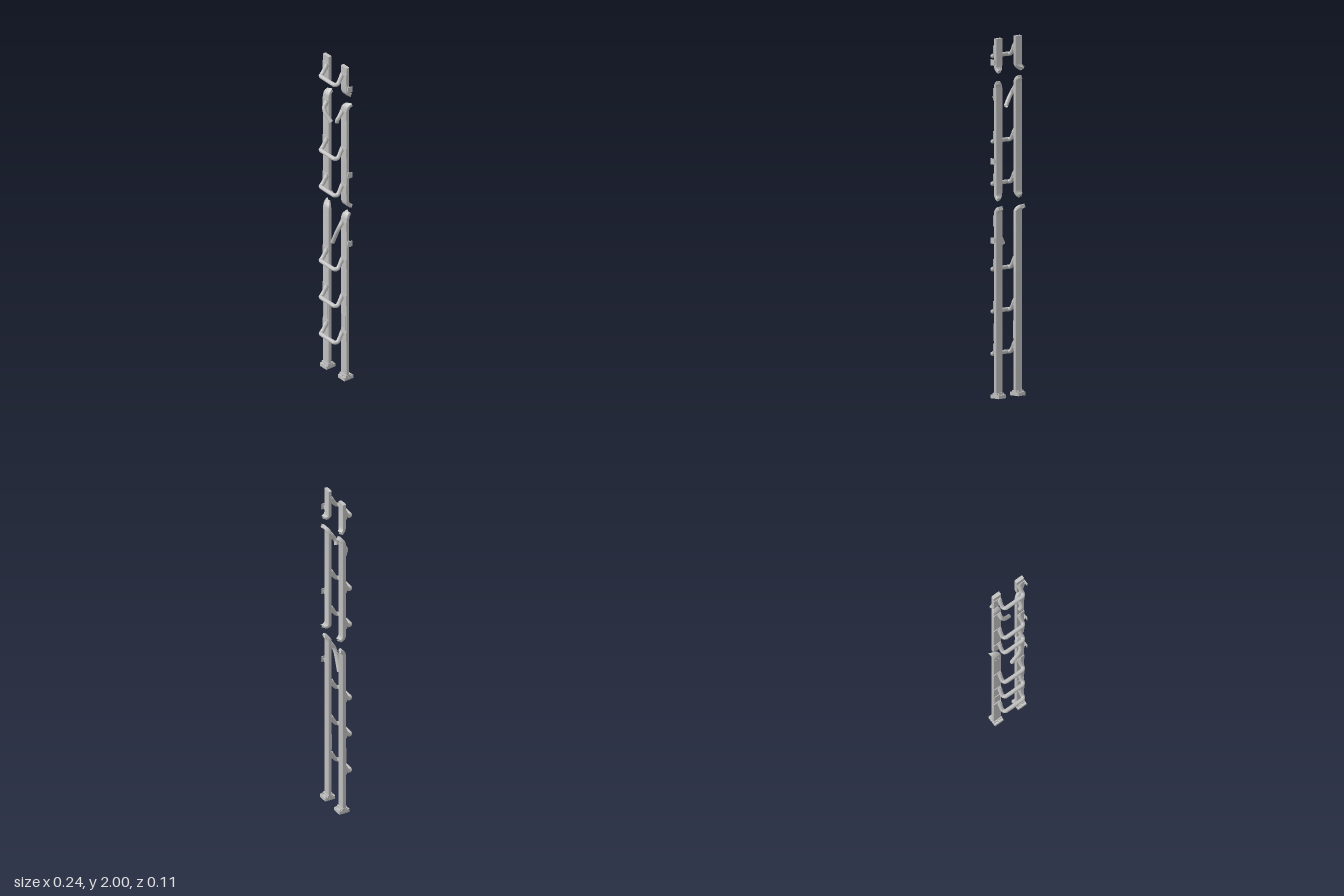
import * as THREE from 'three';
import { toCreasedNormals } from 'three/addons/utils/BufferGeometryUtils.js';

const steel = new THREE.MeshStandardMaterial({ color: 0xc0c0c0, side: THREE.DoubleSide });
steel.name = 'steel';

const RAIL_W = 0.052, RAIL_D = 0.021, RAIL_Z = -0.014;
const LEFT = 0.074, RIGHT = -0.084, MID = -0.006;

function add(parent, name, geometry, x = 0, y = 0, z = 0) {
  const mesh = new THREE.Mesh(geometry, steel);
  mesh.name = name;
  mesh.position.set(x, y, z);
  parent.add(mesh);
  return mesh;
}
const box = (w, h, d) => new THREE.BoxGeometry(w, h, d);

// Rounded rectangle cross-section, as [across, depth]
function railRing() {
  const r = 0.005, ring = [];
  for (let c = 0; c < 4; c++) {
    const sx = c === 0 || c === 3 ? 1 : -1, sz = c < 2 ? 1 : -1;
    for (let k = 0; k < 4; k++) {
      const a = (c + k / 3) * Math.PI / 2;
      ring.push([sx * (RAIL_W / 2 - r) + r * Math.cos(a), sz * (RAIL_D / 2 - r) + r * Math.sin(a)]);
    }
  }
  return ring;
}

// Torn end: rows curl backwards, lean sideways and narrow to a ragged edge
function tornRows(y, dir, lean) {
  const rows = [], n = 5, R = 0.034, max = 1.2;
  for (let i = 0; i <= n; i++) {
    const t = i / n, a = t * max;
    rows.push({
      x: lean * t * t, y: y - dir * R * (Math.sin(max) - Math.sin(a)) - dir * 0.008,
      z: -R * (1 - Math.cos(a)), a: dir * a, w: 1 - 0.4 * t * t, jag: i === n ? dir : 0,
    });
  }
  return dir > 0 ? rows : rows.reverse();
}

// Rail length with each end either square (lean null) or torn
function railGeometry(y0, lean0, y1, lean1) {
  const flat = y => [{ x: 0, y, z: 0, a: 0, w: 1, jag: 0 }];
  const rows = [
    ...(lean0 === null ? flat(y0) : tornRows(y0, -1, lean0)),
    ...(lean1 === null ? flat(y1) : tornRows(y1, 1, lean1)),
  ];
  const ring = railRing(), m = ring.length, pos = [], idx = [];
  for (const s of rows) {
    for (const [u, v] of ring) {
      const j = s.jag * (0.006 * Math.sin(u * 230 + y0 * 9) + 0.003 * Math.cos(u * 520));
      pos.push(s.x + u * s.w,
        s.y + v * Math.sin(s.a) + j * Math.cos(s.a),
        s.z + v * Math.cos(s.a) - j * Math.sin(s.a));
    }
  }
  for (let i = 0; i < rows.length - 1; i++) {
    for (let j = 0; j < m; j++) {
      const a = i * m + j, b = i * m + (j + 1) % m;
      idx.push(a, a + m, b, b, a + m, b + m);
    }
  }
  const first = rows[0], last = rows[rows.length - 1], top = (rows.length - 1) * m;
  pos.push(first.x, first.y, first.z, last.x, last.y, last.z);
  const c0 = rows.length * m;
  for (let j = 0; j < m; j++) {
    const k = (j + 1) % m;
    idx.push(c0, j, k, c0 + 1, top + k, top + j);
  }
  const g = new THREE.BufferGeometry();
  g.setAttribute('position', new THREE.Float32BufferAttribute(pos, 3));
  g.setIndex(idx);
  return toCreasedNormals(g, 0.7);
}

function tube(points, radius = 0.012) {
  const curve = new THREE.CatmullRomCurve3(points.map(p => new THREE.Vector3(...p)), false, 'catmullrom', 0.4);
  return new THREE.TubeGeometry(curve, 40, radius, 14);
}

// Thin plate that holds a rung, with a socket around the tube
function bracket(parent, railX, y) {
  const g = new THREE.Group();
  g.name = 'rungBracket';
  const inner = railX > 0 ? -1 : 1;
  add(g, 'bracketPlate', box(0.046, 0.042, 0.005), railX - inner * 0.002, y + 0.044, -0.002);
  add(g, 'bracketLug', box(0.02, 0.02, 0.005), railX - inner * 0.015, y + 0.016, -0.002);
  const socket = add(g, 'rungSocket', new THREE.CylinderGeometry(0.0125, 0.0135, 0.02, 14),
    railX + inner * 0.011, y + 0.046, 0.001);
  socket.rotation.x = -0.5;
  parent.add(g);
}

export function createModel() {
  const model = new THREE.Group();
  model.name = 'brokenLadder';

  // Rails: [side, bottom, lean, top, lean]
  const rails = [
    [RIGHT, 0.02, null, 1.06, -0.016], [LEFT, 0.02, null, 1.065, 0.004],
    [RIGHT, 1.105, 0.002, 1.78, 0.003], [LEFT, 1.1, 0.016, 1.765, 0.019],
    [RIGHT, 1.81, -0.016, 2, null], [LEFT, 1.81, 0.01, 2, null],
  ];
  for (const [x, y0, l0, y1, l1] of rails) {
    add(model, x > 0 ? 'leftRail' : 'rightRail', railGeometry(y0, l0, y1, l1), x, 0, RAIL_Z);
  }

  // Whole rungs: down from each rail, then level out to the front bar
  for (const y of [0.24, 0.475, 0.71, 1.185, 1.42, 1.895]) {
    const half = [[0.066, 0.056, -0.004], [0.068, 0.034, 0.008], [0.069, 0.012, 0.021],
      [0.069, 0.001, 0.032], [0.063, -0.001, 0.043], [0.052, -0.001, 0.047]];
    const path = [
      ...half.map(([x, h, z]) => [MID - x, y + h, z]),
      ...half.slice().reverse().map(([x, h, z]) => [MID + x, y + h, z]),
    ];
    add(model, 'rung', tube(path));
    bracket(model, LEFT, y);
    bracket(model, RIGHT, y);
  }

  // Snapped rungs
  add(model, 'snappedRungUpperRight', tube([[-0.072, 1.715, -0.004], [-0.072, 1.685, 0.016],
    [-0.055, 1.655, 0.022], [-0.016, 1.61, 0.012]]));
  add(model, 'snappedRungUpperLeft', tube([[0.061, 1.715, -0.004], [0.062, 1.685, 0.016],
    [0.057, 1.665, 0.026], [0.049, 1.645, 0.024]]));
  add(model, 'snappedRungLower', tube([[0.062, 1.005, -0.004], [0.061, 0.975, 0.014],
    [0.045, 0.935, 0.021], [0.001, 0.848, 0.015]]));
  bracket(model, RIGHT, 1.66);
  bracket(model, LEFT, 1.66);
  bracket(model, LEFT, 0.95);

  // Bolts left where a bracket tore away
  for (const dx of [-0.01, 0.01]) {
    const bolt = add(model, 'looseBolt', new THREE.CylinderGeometry(0.003, 0.003, 0.006, 10), RIGHT + dx, 0.995, -0.003);
    bolt.rotation.x = Math.PI / 2;
  }

  for (const x of [LEFT, RIGHT]) {
    // Feet
    const foot = new THREE.Group();
    foot.name = 'foot';
    add(foot, 'footPad', box(0.058, 0.02, 0.063), x, 0.01, -0.0165);
    add(foot, 'footCollar', box(0.056, 0.01, 0.034), x, 0.025, -0.014);
    for (const [dx, z] of [[0.02, -0.038], [-0.02, -0.038], [0, 0.007]]) {
      add(foot, 'footBolt', new THREE.CylinderGeometry(0.005, 0.005, 0.008, 12), x + dx, 0.022, z);
    }
    model.add(foot);

    // Framed notice plates without markings
    const plate = new THREE.Group();
    plate.name = 'noticePlate';
    add(plate, 'plateSheet', box(0.036, 0.09, 0.003), x, 0.367, -0.003);
    for (const s of [-1, 1]) {
      add(plate, 'plateSideEdge', box(0.003, 0.096, 0.005), x + s * 0.019, 0.367, -0.002);
      add(plate, 'plateEndEdge', box(0.041, 0.003, 0.005), x, 0.367 + s * 0.0465, -0.002);
    }
    model.add(plate);
  }

  // Side pegs on the left rail
  for (const y of [0.88, 1.32, 1.87]) {
    const peg = new THREE.Group();
    peg.name = 'sidePeg';
    add(peg, 'pegCollar', box(0.004, 0.022, 0.016), 0.102, y, -0.014);
    const stem = add(peg, 'pegStem', new THREE.CylinderGeometry(0.005, 0.005, 0.02, 12), 0.108, y, -0.014);
    stem.rotation.z = Math.PI / 2;
    add(peg, 'pegPlate', box(0.004, 0.034, 0.031), 0.118, y, -0.014);
    model.add(peg);
  }

  return model;
}
